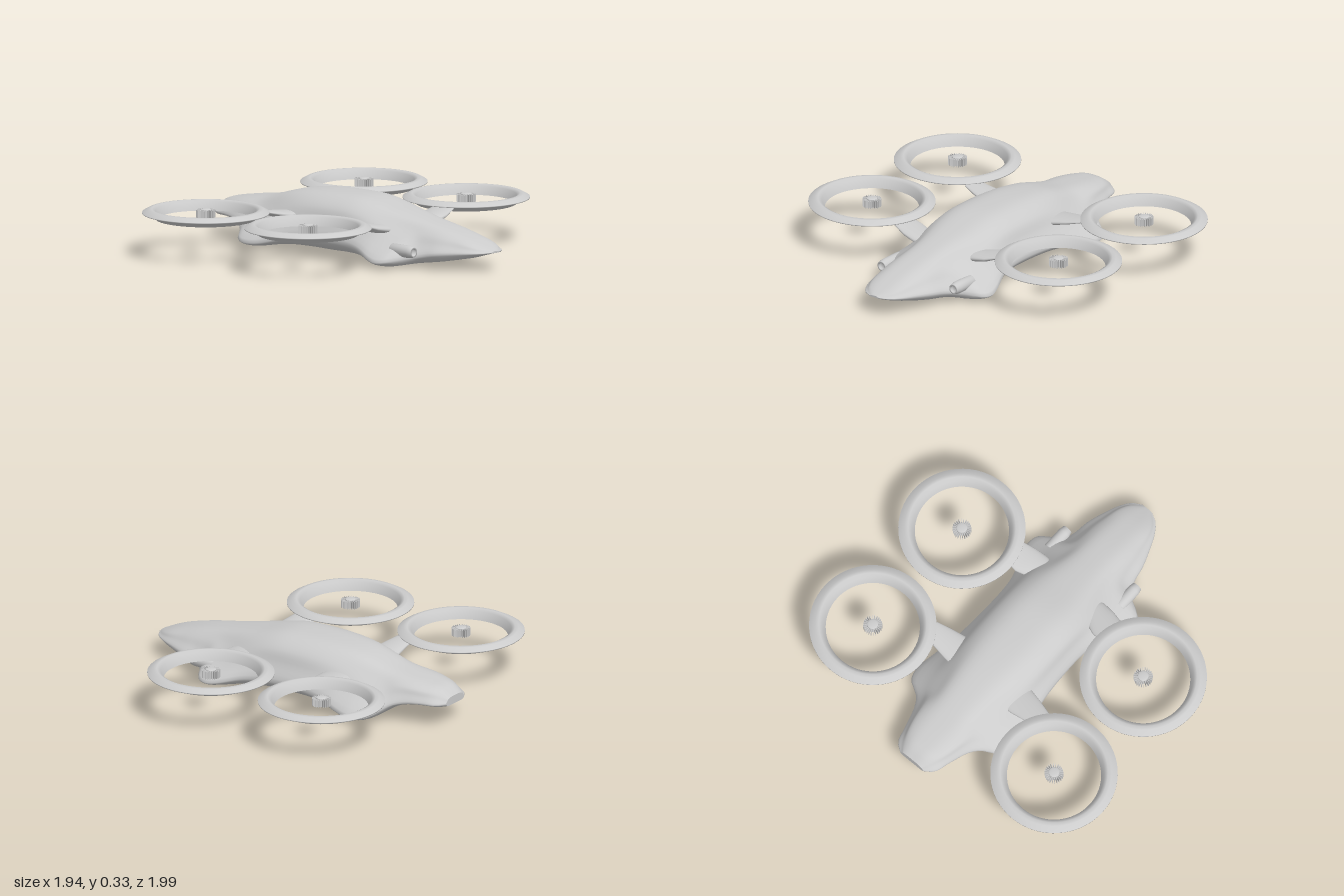
import * as THREE from 'three';

const material = new THREE.MeshStandardMaterial({ color: 0xcccccc });
const lerp = THREE.MathUtils.lerp;

function addMesh(parent, name, geometry, x = 0, y = 0, z = 0) {
  const mesh = new THREE.Mesh(geometry, material);
  mesh.name = name;
  mesh.position.set(x, y, z);
  parent.add(mesh);
  return mesh;
}

// Smooth curve through [position, value] keys
function track(...keys) {
  const curve = new THREE.CubicInterpolant(
    Float32Array.from(keys, k => k[0]), Float32Array.from(keys, k => k[1]), 1, new Float32Array(1));
  return x => curve.evaluate(x)[0];
}

// Skin over closed loops of points, with a flat cap on both ends
function loft(sections) {
  const n = sections[0].length, verts = [], index = [];
  const push = p => verts.push(p.x, p.y, p.z);
  sections.forEach(s => s.forEach(push));
  for (let i = 0; i < sections.length - 1; i++) {
    for (let j = 0; j < n; j++) {
      const k = (j + 1) % n, a = i * n + j, b = i * n + k;
      index.push(a, b, b + n, a, b + n, a + n);
    }
  }
  [sections[0], sections.at(-1)].forEach((s, end) => {
    const base = verts.length / 3;
    s.forEach(push);
    push(s.reduce((sum, p) => sum.add(p), new THREE.Vector3()).divideScalar(n));
    for (let j = 0; j < n; j++) {
      const a = base + j, b = base + (j + 1) % n;
      index.push(base + n, end ? a : b, end ? b : a);
    }
  });
  const geometry = new THREE.BufferGeometry();
  geometry.setAttribute('position', new THREE.Float32BufferAttribute(verts, 3));
  geometry.setIndex(index);
  geometry.computeVertexNormals();
  return geometry;
}

// Hull outlines along x, nose at +x
const topY = track([-0.97, 0.165], [-0.92, 0.2], [-0.83, 0.22], [-0.6, 0.255], [-0.4, 0.307],
  [-0.25, 0.325], [-0.05, 0.331], [0.1, 0.325], [0.3, 0.285], [0.5, 0.245], [0.7, 0.205],
  [0.85, 0.165], [0.93, 0.135], [0.97, 0.118]);
const bellyY = track([-0.97, 0.118], [-0.7, 0.1], [-0.5, 0.065], [-0.3, 0.035], [-0.05, 0.003],
  [0.2, 0.025], [0.45, 0.05], [0.65, 0.045], [0.8, 0.06], [0.9, 0.088], [0.97, 0.108]);
const halfWidth = track([-0.97, 0.085], [-0.94, 0.125], [-0.85, 0.157], [-0.7, 0.21], [-0.65, 0.25],
  [-0.6, 0.325], [-0.52, 0.355], [-0.4, 0.335], [-0.28, 0.305], [-0.05, 0.285], [0.15, 0.29],
  [0.25, 0.315], [0.36, 0.36], [0.43, 0.375], [0.49, 0.35], [0.55, 0.25], [0.62, 0.215],
  [0.7, 0.2], [0.8, 0.165], [0.9, 0.118], [0.95, 0.075], [0.97, 0.035]);
const edgeY = track([-0.97, 0.135], [-0.7, 0.11], [-0.6, 0.05], [-0.48, 0.04], [-0.25, 0.088],
  [0, 0.1], [0.22, 0.085], [0.42, 0.04], [0.55, 0.06], [0.7, 0.09], [0.97, 0.112]);
const podY = track([-0.97, 0.12], [-0.72, 0.1], [-0.6, 0.03], [-0.5, 0.018], [-0.3, 0.045],
  [0, 0.05], [0.2, 0.043], [0.45, 0.014], [0.6, 0.035], [0.8, 0.07], [0.97, 0.108]);
const domeZ = track([-0.97, 0.065], [-0.85, 0.12], [-0.6, 0.16], [-0.3, 0.2], [0, 0.21],
  [0.25, 0.2], [0.5, 0.15], [0.75, 0.12], [0.92, 0.075], [0.97, 0.02]);

function hullSection(x) {
  const top = topY(x), edge = edgeY(x), w = halfWidth(x), d = domeZ(x);
  const half = [
    [d * 0.6, lerp(edge, top, 0.95)],              // roof
    [d, lerp(edge, top, 0.72)],                    // dome side
    [lerp(d, w, 0.45), lerp(edge, top, 0.4)],      // shoulder
    [w, edge],                                     // outer edge
    [w * 0.82, podY(x)],                           // pod underside
    [w * 0.45, lerp(podY(x), bellyY(x), 0.6)],
  ];
  const loop = [[0, top], ...half, [0, bellyY(x)], ...half.map(([z, y]) => [-z, y]).reverse()];
  const curve = new THREE.CatmullRomCurve3(loop.map(([z, y]) => new THREE.Vector3(x, y, z)), true);
  return Array.from({ length: 56 }, (_, i) => curve.getPoint(i / 56));
}

// Tapered arm; each section is [x centre, y centre, z, half chord, half thickness]
function armGeometry(sections, side) {
  return loft(sections.map(([cx, cy, z, rx, ry]) => Array.from({ length: 20 }, (_, i) => {
    const t = side * i / 20 * Math.PI * 2;
    return new THREE.Vector3(cx + rx * Math.cos(t), cy + ry * Math.sin(t), side * z);
  })));
}

const rearArm = [[-0.335, 0.19, 0.17, 0.092, 0.028], [-0.34, 0.2, 0.24, 0.085, 0.024],
  [-0.345, 0.215, 0.32, 0.07, 0.018], [-0.355, 0.232, 0.4, 0.055, 0.01]];
const frontArm = [[0.33, 0.185, 0.13, 0.03, 0.02], [0.31, 0.19, 0.2, 0.075, 0.026],
  [0.29, 0.205, 0.28, 0.085, 0.022], [0.28, 0.23, 0.365, 0.07, 0.011]];

function makeRotor(x, z) {
  const rotor = new THREE.Group();
  rotor.name = 'rotor';
  rotor.position.set(x, 0, z);

  // Duct ring with a thin outer flange
  const outline = [[0.255, 0.206], [0.272, 0.206], [0.292, 0.234], [0.345, 0.237], [0.345, 0.242],
    [0.312, 0.26], [0.292, 0.262], [0.272, 0.252], [0.255, 0.206]];
  const ring = new THREE.LatheGeometry(outline.map(p => new THREE.Vector2(...p)), 64);
  addMesh(rotor, 'ductRing', ring);

  // Hub with a crown of fine fins
  addMesh(rotor, 'hub', new THREE.CylinderGeometry(0.03, 0.03, 0.045, 20), 0, 0.235, 0);
  const cap = addMesh(rotor, 'hubCap', new THREE.SphereGeometry(0.03, 20, 8, 0, Math.PI * 2, 0, Math.PI / 2), 0, 0.257, 0);
  cap.scale.y = 0.2;
  for (let i = 0; i < 24; i++) {
    const fin = new THREE.BoxGeometry(0.026, 0.042, 0.003).translate(0.039, 0, 0);
    addMesh(rotor, 'hubFin', fin, 0, 0.235, 0).rotation.y = i / 24 * Math.PI * 2;
  }
  return rotor;
}

export function createModel() {
  const model = new THREE.Group();
  model.name = 'quadRotorCraft';

  const stations = Array.from({ length: 81 }, (_, i) => -0.97 + 1.94 * i / 80);
  addMesh(model, 'hull', loft(stations.map(hullSection)));

  for (const side of [1, -1]) {
    addMesh(model, 'rearArm', armGeometry(rearArm, side));
    addMesh(model, 'frontArm', armGeometry(frontArm, side));
    model.add(makeRotor(-0.545, side * 0.65), makeRotor(0.19, side * 0.65));

    // Forward barrel with a recessed mouth
    const barrel = [[0, 0], [0.034, 0], [0.034, 0.12], [0.028, 0.15], [0.019, 0.15], [0.019, 0.135], [0, 0.135]];
    const geometry = new THREE.LatheGeometry(barrel.map(p => new THREE.Vector2(...p)), 24);
    geometry.rotateZ(-Math.PI / 2);
    addMesh(model, 'barrel', geometry, 0.45, 0.1, side * 0.25);
  }
  return model;
}
